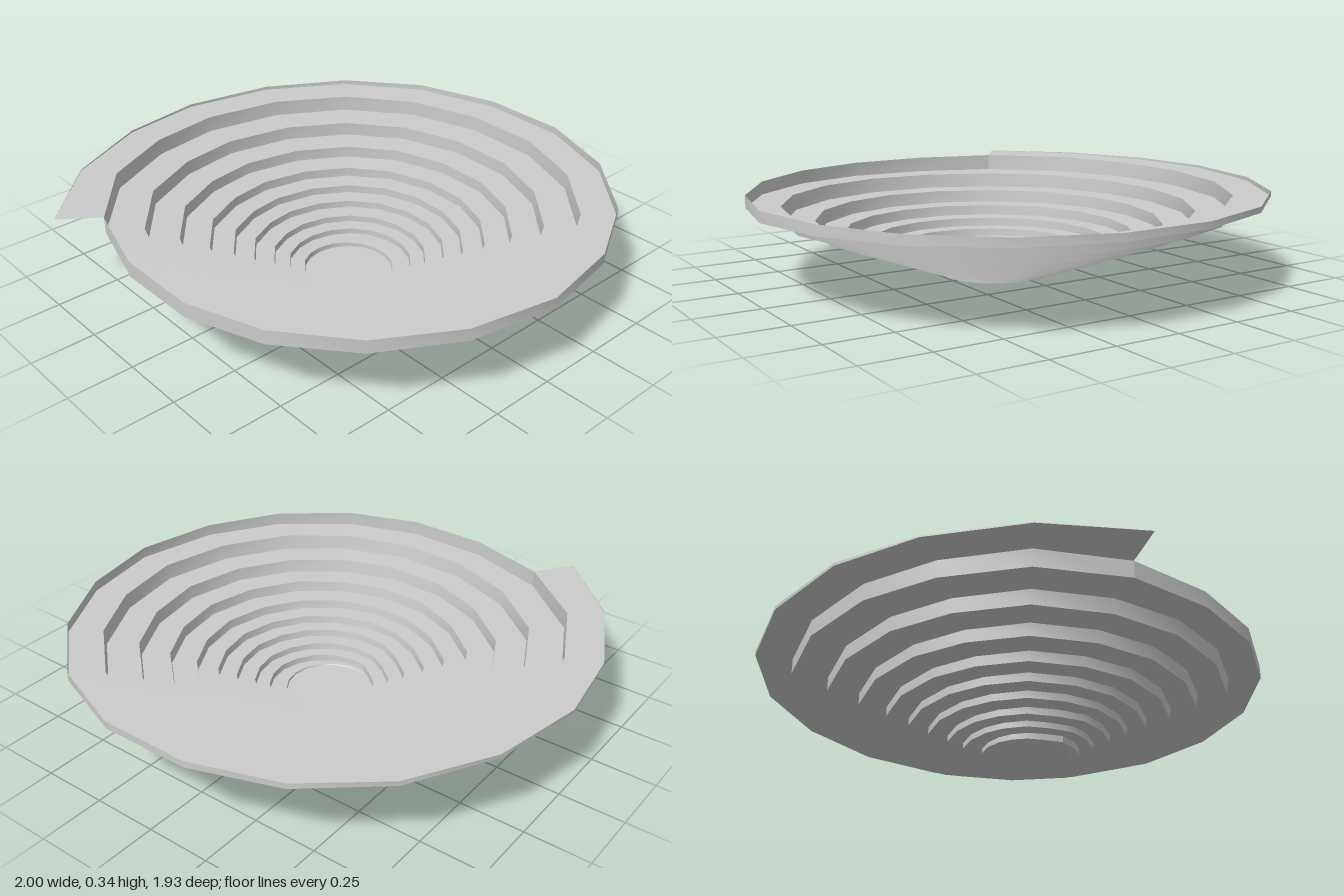
import * as THREE from 'three';
import { toCreasedNormals } from 'three/addons/utils/BufferGeometryUtils.js';

const SIDES = 18, TURNS = 9;
const CX = 0.045, CZ = 0.025; // centre the spiral winds into
const TOP = 0.342;

// Corners [x, z] of the outermost turn
const OUTER = [
  [-0.485, 0.94], [-0.79, 0.69], [-0.95, 0.36], [-1, 0.03], [-0.93, -0.33], [-0.75, -0.64],
  [-0.48, -0.86], [-0.15, -0.97], [0.2, -0.97], [0.52, -0.85], [0.78, -0.62], [0.94, -0.33],
  [1, 0], [0.93, 0.33], [0.76, 0.61], [0.51, 0.81], [0.22, 0.91], [-0.1, 0.91],
];
// Size and starting height of each turn
const SCALE = [1, 0.866, 0.734, 0.618, 0.516, 0.433, 0.36, 0.288, 0.23];
const HEIGHT = [TOP, 0.277, 0.22, 0.171, 0.132, 0.1, 0.072, 0.046, 0.024, 0, 0];

// Upper edge of the wall at step n, as [x, z]
function edge(n) {
  const turn = Math.floor(n / SIDES), [x, z] = OUTER[n % SIDES];
  if (n === 0) return [-0.52, 0.96]; // loose tip of the ramp
  if (turn >= TURNS) { // round pit floor
    const a = Math.atan2(z - CZ, x - CX);
    return [0.038 + 0.172 * Math.cos(a), 0.04 + 0.172 * Math.sin(a)];
  }
  return [CX + (x - CX) * SCALE[turn], CZ + (z - CZ) * SCALE[turn]];
}

// Lower edge of the wall, drawn in slightly towards one side
function foot(n) {
  const [x, z] = edge(n);
  if (n <= SIDES) return [x, z];
  const dx = x - CX, dz = z - CZ;
  const k = 1 - 0.007 * (1 + (dx + dz) / Math.SQRT2 / Math.hypot(dx, dz));
  return [CX + dx * k, CZ + dz * k];
}

function height(n) {
  const k = Math.min(Math.floor(n / SIDES), TURNS);
  if (k === TURNS) return 0;
  return THREE.MathUtils.lerp(HEIGHT[k], HEIGHT[k + 1], (n % SIDES) / SIDES);
}

const at = ([x, z], y) => [x, y, z];

// Ribbon between two edges a(n) and b(n)
function ribbon(name, from, to, a, b, material) {
  const positions = [], index = [];
  for (let n = from; n <= to; n++) {
    positions.push(...a(n), ...b(n));
    if (n < to) {
      const i = (n - from) * 2;
      index.push(i, i + 1, i + 2, i + 1, i + 3, i + 2);
    }
  }
  const g = new THREE.BufferGeometry();
  g.setAttribute('position', new THREE.Float32BufferAttribute(positions, 3));
  g.setIndex(index);
  const mesh = new THREE.Mesh(toCreasedNormals(g, Math.PI / 6), material);
  mesh.name = name;
  return mesh;
}

export function createModel() {
  const group = new THREE.Group();
  group.name = 'terracedPit';
  const material = new THREE.MeshStandardMaterial({ color: 0xcccccc, side: THREE.DoubleSide });
  const last = SIDES * TURNS;

  // Spiral ramp running down to the floor
  group.add(ribbon('spiralRamp', 0, last,
    n => at(foot(n), height(n)), n => at(edge(n + SIDES), height(n)), material));

  // Level-topped wall around the first turn
  group.add(ribbon('rimWall', 0, SIDES,
    n => at(edge(n), TOP), n => at(foot(n), height(n)), material));

  // Wall between each turn and the one below
  group.add(ribbon('terraceWall', SIDES, last + SIDES,
    n => at(edge(n), height(n - SIDES)), n => at(foot(n), height(n)), material));

  // Flat floor
  const centre = [0.038, 0, 0.04];
  group.add(ribbon('pitFloor', last, last + SIDES,
    n => at(foot(n), 0), () => centre, material));

  return group;
}
